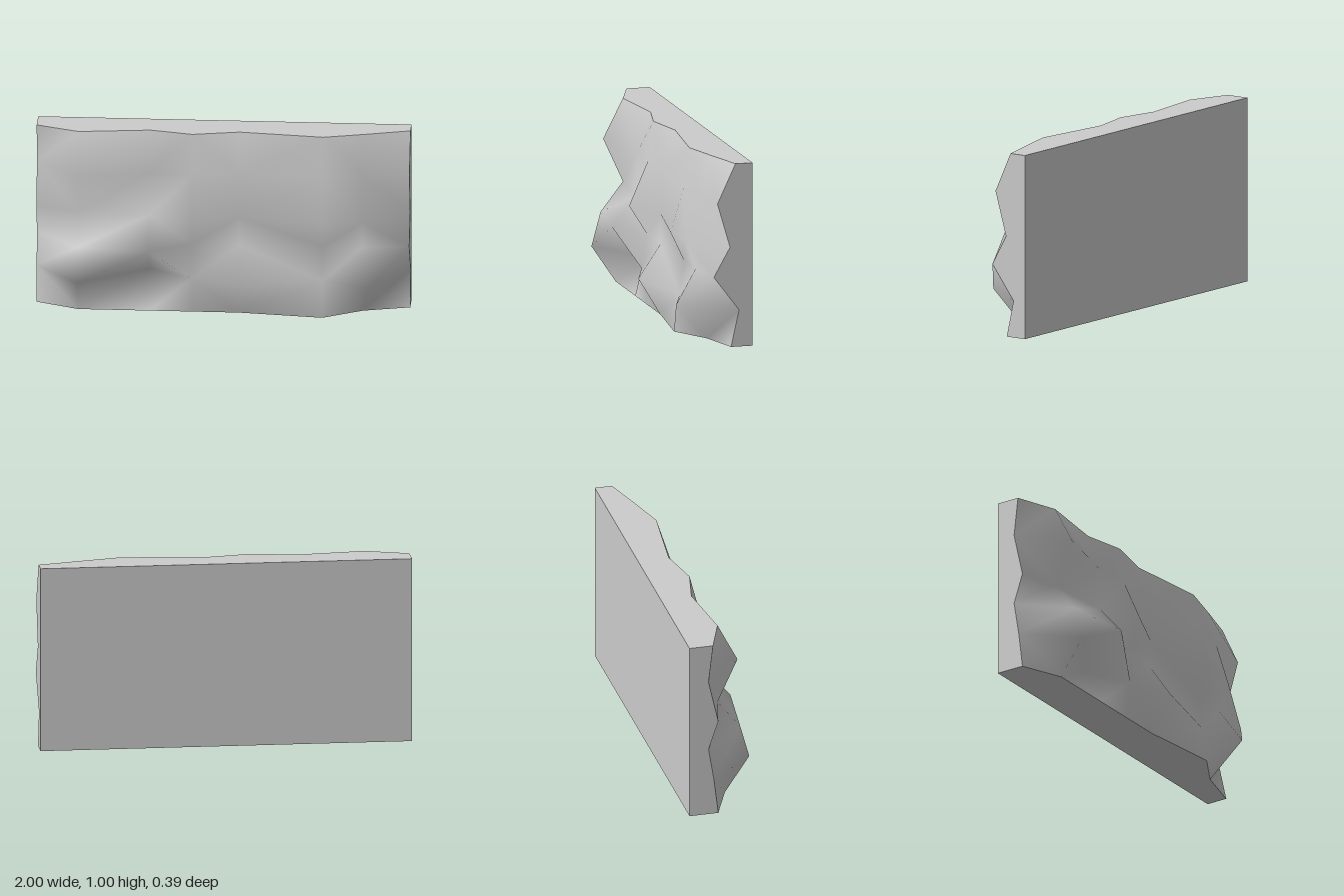
import * as THREE from 'three';
import { mergeVertices } from 'three/addons/utils/BufferGeometryUtils.js';

const BACK = -0.195;
// Grid lines of the rough face, and its relief row by row from the bottom up
const xs = [-1, -0.77, -0.39, -0.16, 0.09, 0.54, 0.75, 1];
const ys = [0, 0.2, 0.385, 0.545, 0.785, 1];
const relief = [
  [-0.036, 0.06, 0.06, 0.06, 0.06, 0.11, -0.01, -0.075],
  [-0.06, 0.195, -0.05, 0.09, 0.18, 0.08, 0.17, -0.12],
  [-0.09, 0.145, 0.19, 0.06, 0.055, 0.055, 0.05, 0.02],
  [-0.036, 0.02, 0.055, 0.16, 0.055, 0.13, 0.105, -0.07],
  [-0.09, 0.13, 0.05, 0.055, 0.05, 0.055, 0.03, 0],
  [-0.065, 0.02, -0.025, 0.025, -0.025, 0.025, -0.03, -0.1],
];
const nx = xs.length - 1;
const ny = ys.length - 1;

function point(i, j) {
  // one ridge point leans slightly sideways
  const x = i === 6 && j === 1 ? 0.79 : xs[i];
  return new THREE.Vector3(x, ys[j], relief[j][i]);
}

function behind(p) {
  return new THREE.Vector3(p.x, p.y, BACK);
}

function makeMesh(name, triangles, smooth) {
  let geometry = new THREE.BufferGeometry().setFromPoints(triangles);
  if (smooth) geometry = mergeVertices(geometry);
  geometry.computeVertexNormals();
  const mesh = new THREE.Mesh(geometry, new THREE.MeshStandardMaterial({ color: 0xcccccc }));
  mesh.name = name;
  return mesh;
}

// Rough face: each cell is split along its flatter diagonal, shaded smoothly
function roughFace() {
  const tris = [];
  for (let j = 0; j < ny; j++) {
    for (let i = 0; i < nx; i++) {
      const a = point(i, j), b = point(i + 1, j);
      const c = point(i + 1, j + 1), d = point(i, j + 1);
      if (Math.abs(a.z - c.z) < Math.abs(b.z - d.z)) tris.push(a, b, c, a, c, d);
      else tris.push(a, b, d, b, c, d);
    }
  }
  return makeMesh('roughFace', tris, true);
}

// Flat edges: walls from the rim of the rough face to the back plane
function slabEdges() {
  const rim = [];
  for (let i = 0; i < nx; i++) rim.push(point(i, 0));
  for (let j = 0; j < ny; j++) rim.push(point(nx, j));
  for (let i = nx; i > 0; i--) rim.push(point(i, ny));
  for (let j = ny; j > 0; j--) rim.push(point(0, j));
  const tris = [];
  rim.forEach((a, k) => {
    const b = rim[(k + 1) % rim.length];
    tris.push(behind(a), behind(b), b, behind(a), b, a);
  });
  return makeMesh('slabEdges', tris, false);
}

// Flat back of the slab
function slabBack() {
  const [a, b, c, d] = [point(nx, 0), point(0, 0), point(0, ny), point(nx, ny)].map(behind);
  return makeMesh('slabBack', [a, b, c, a, c, d], false);
}

export function createModel() {
  const group = new THREE.Group();
  group.name = 'rockWallPanel';
  group.add(roughFace(), slabEdges(), slabBack());
  return group;
}
